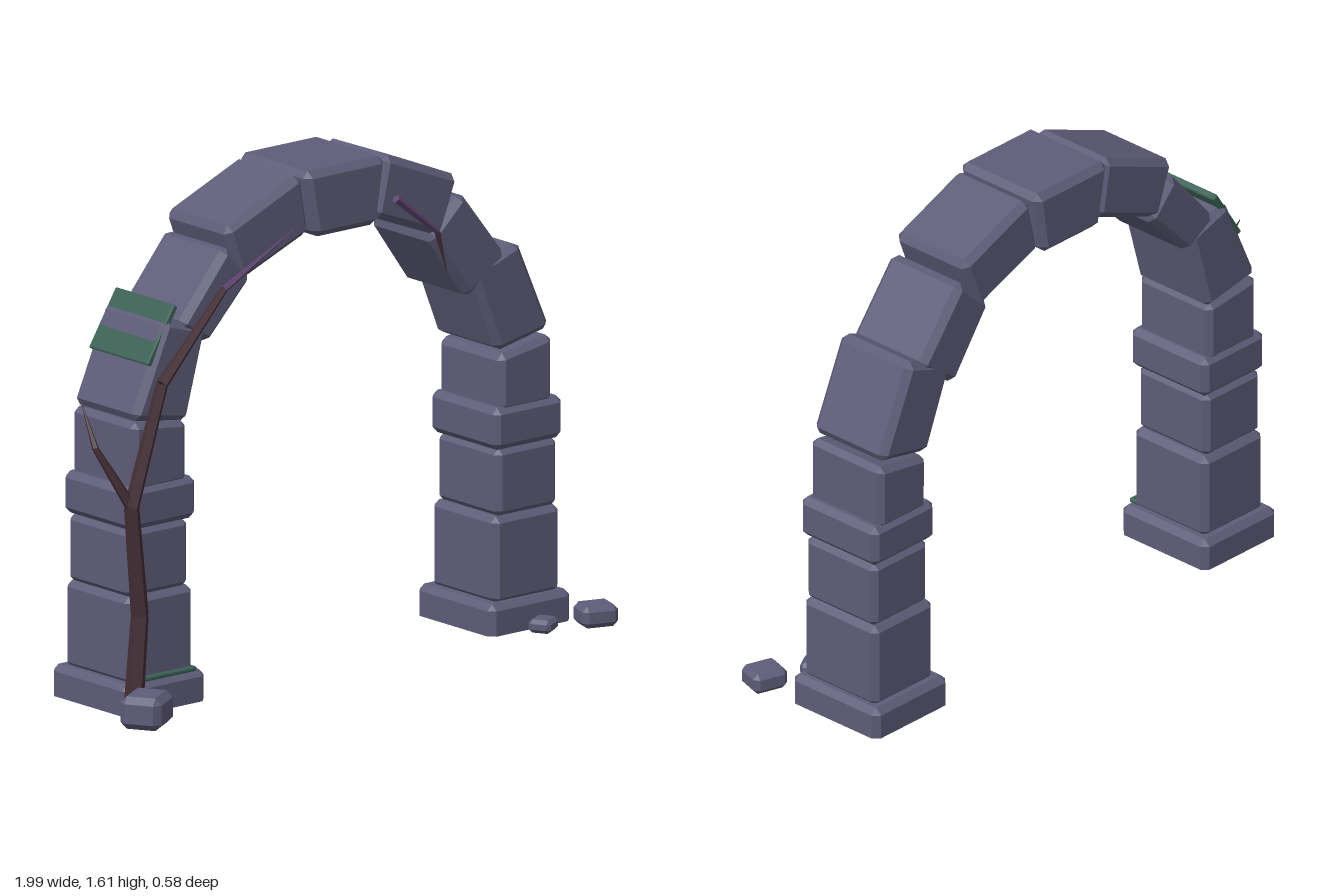
import * as THREE from 'three';
import { ConvexGeometry } from 'three/addons/geometries/ConvexGeometry.js';

const mat = (name, color, extra = {}) => {
  const m = new THREE.MeshStandardMaterial({ color, flatShading: true, ...extra });
  m.name = name;
  return m;
};

// Chamfered stone: a four-cornered outline in x/y, given depth from z0 to z1.
// With openBottom, the corners at y = 0 stay sharp and the underside is left out.
function blockGeometry(quad, z0, z1, bevel, openBottom = false) {
  const points = [];
  const corners = quad.map(([x, y]) => new THREE.Vector3(x, y, 0));
  corners.forEach((c, i) => {
    const a = corners[(i + 3) % 4].clone().sub(c).normalize().multiplyScalar(bevel);
    const b = corners[(i + 1) % 4].clone().sub(c).normalize().multiplyScalar(bevel);
    for (const [z, s] of [[z0, 1], [z1, -1]]) {
      const p = new THREE.Vector3(c.x, c.y, z);
      const d = new THREE.Vector3(0, 0, s * bevel);
      if (openBottom && c.y === 0) {
        const h = Math.abs(a.y) < Math.abs(b.y) ? a : b;
        points.push(p.clone().add(h), p.clone().add(d));
      } else {
        points.push(p.clone().add(a).add(b), p.clone().add(a).add(d), p.clone().add(b).add(d));
      }
    }
  });
  const geo = new ConvexGeometry(points);
  if (!openBottom) return geo;
  const pos = geo.getAttribute('position').array;
  const kept = [];
  for (let i = 0; i < pos.length; i += 9) {
    const lowest = Math.max(pos[i + 1], pos[i + 4], pos[i + 7]);
    if (lowest > 1e-4) kept.push(...pos.slice(i, i + 9));
  }
  const open = new THREE.BufferGeometry();
  open.setAttribute('position', new THREE.Float32BufferAttribute(kept, 3));
  open.computeVertexNormals();
  return open;
}

const rect = (x0, x1, y0, y1) => [[x0, y0], [x1, y0], [x1, y1], [x0, y1]];

export function createModel() {
  const model = new THREE.Group();
  model.name = 'ruinedArch';
  const stone = mat('stone', 0x5e5c78, { side: THREE.DoubleSide });
  const bark = mat('bark', 0x432e35);
  const purple = mat('purpleVine', 0x5f4470);
  const moss = mat('moss', 0x3c6156);

  const add = (name, geo, material, parent = model) => {
    const m = new THREE.Mesh(geo, material);
    m.name = name;
    parent.add(m);
    return m;
  };

  // Pillars: open base, then stacked blocks
  const pillars = {
    leftPillar: [
      [rect(0.6, 0.93, 0, 0.1), -0.295, 0.07],
      [rect(0.635, 0.905, 0.09, 0.37), -0.265, 0.045],
      [rect(0.65, 0.9, 0.365, 0.585), -0.257, 0.04],
      [rect(0.63, 0.908, 0.585, 0.72), -0.268, 0.057],
      [[[0.66, 0.7], [0.875, 0.7], [0.875, 0.92], [0.66, 0.885]], -0.26, 0.045],
    ],
    rightPillar: [
      [rect(-0.88, -0.55, 0, 0.1), -0.295, 0.07],
      [rect(-0.85, -0.58, 0.09, 0.37), -0.265, 0.045],
      [rect(-0.845, -0.595, 0.365, 0.585), -0.257, 0.04],
      [rect(-0.855, -0.577, 0.585, 0.72), -0.268, 0.057],
      [[[-0.825, 0.7], [-0.605, 0.7], [-0.605, 0.9], [-0.825, 0.925]], -0.26, 0.045],
    ],
  };
  for (const [name, blocks] of Object.entries(pillars)) {
    const g = new THREE.Group();
    g.name = name;
    model.add(g);
    blocks.forEach(([quad, z0, z1], i) =>
      add(i ? 'pillarBlock' : 'pillarBase', blockGeometry(quad, z0, z1, 0.02, i === 0), stone, g));
  }

  // Arch ring, from one pillar over the keystone to the other
  const arch = new THREE.Group();
  arch.name = 'archRing';
  model.add(arch);
  const ring = [
    [[-0.825, 0.93], [-0.6, 0.89], [-0.52, 1.18], [-0.69, 1.235]],
    [[-0.64, 1.2], [-0.515, 1.125], [-0.335, 1.31], [-0.445, 1.43]],
    [[-0.45, 1.48], [-0.385, 1.3], [-0.105, 1.412], [-0.14, 1.608]],
    [[-0.14, 1.61], [-0.1, 1.395], [0.157, 1.395], [0.19, 1.61]],
    [[0.2, 1.608], [0.155, 1.412], [0.43, 1.305], [0.5, 1.488]],
    [[0.51, 1.435], [0.375, 1.31], [0.535, 1.085], [0.695, 1.2]],
    [[0.74, 1.24], [0.545, 1.17], [0.655, 0.895], [0.872, 0.94]],
  ];
  ring.forEach((quad, i) => {
    const key = i === 3;
    add(key ? 'keystone' : 'archStone',
      blockGeometry(quad, key ? -0.28 : -0.262, key ? 0.06 : 0.042, 0.022), stone, arch);
  });

  // Fallen rocks: centre x, centre z, width, depth, bottom, top, turn in degrees
  for (const [x, z, w, d, y0, y1, turn] of [
    [-0.905, 0.198, 0.15, 0.135, 0.006, 0.11, 31],
    [0.925, 0.185, 0.12, 0.105, 0.01, 0.08, -18],
    [0.752, 0.138, 0.085, 0.075, 0.01, 0.052, 29],
  ]) {
    const rock = add('fallenRock', blockGeometry(rect(-w / 2, w / 2, y0, y1), -d / 2, d / 2, w * 0.14), stone);
    rock.position.set(x, 0, z);
    rock.rotation.y = THREE.MathUtils.degToRad(turn);
  }

  // Vines: tapered five-sided lengths between points [x, y, z, radius]
  const vine = (name, pts, materials) => {
    const g = new THREE.Group();
    g.name = name;
    model.add(g);
    for (let i = 0; i < pts.length - 1; i++) {
      const a = new THREE.Vector3(...pts[i]);
      const b = new THREE.Vector3(...pts[i + 1]);
      const dir = b.clone().sub(a);
      const geo = new THREE.CylinderGeometry(pts[i + 1][3], pts[i][3], dir.length(), 5);
      const m = add(name + 'Length', geo, materials[i] ?? bark, g);
      m.position.copy(a).add(b).multiplyScalar(0.5);
      m.quaternion.setFromUnitVectors(new THREE.Vector3(0, 1, 0), dir.normalize());
    }
  };
  vine('mainVine', [
    [-0.867, 0.01, 0.09, 0.033], [-0.83, 0.32, 0.078, 0.029], [-0.86, 0.67, 0.074, 0.025],
    [-0.73, 1.04, 0.066, 0.02], [-0.48, 1.3, 0.066, 0.012], [-0.18, 1.45, 0.064, 0.001],
  ], [bark, bark, bark, bark, purple]);
  vine('vineBranch', [
    [-0.86, 0.67, 0.074, 0.02], [-0.952, 0.86, 0.01, 0.011], [-0.945, 1.0, -0.07, 0.001],
  ], []);
  vine('smallVine', [
    [0.215, 1.47, 0.068, 0.014], [0.385, 1.335, 0.065, 0.01], [0.425, 1.2, 0.062, 0.001],
  ], [purple, bark]);

  // Moss on the shoulder of the arch and along the base
  add('shoulderMoss', blockGeometry(
    [[-0.762, 1.1], [-0.742, 1.09], [-0.634, 1.262], [-0.652, 1.275]], -0.25, 0.03, 0.004), moss);
  add('baseMoss', blockGeometry(rect(-0.84, -0.585, 0.098, 0.113), 0.025, 0.062, 0.004), moss);
  return model;
}
